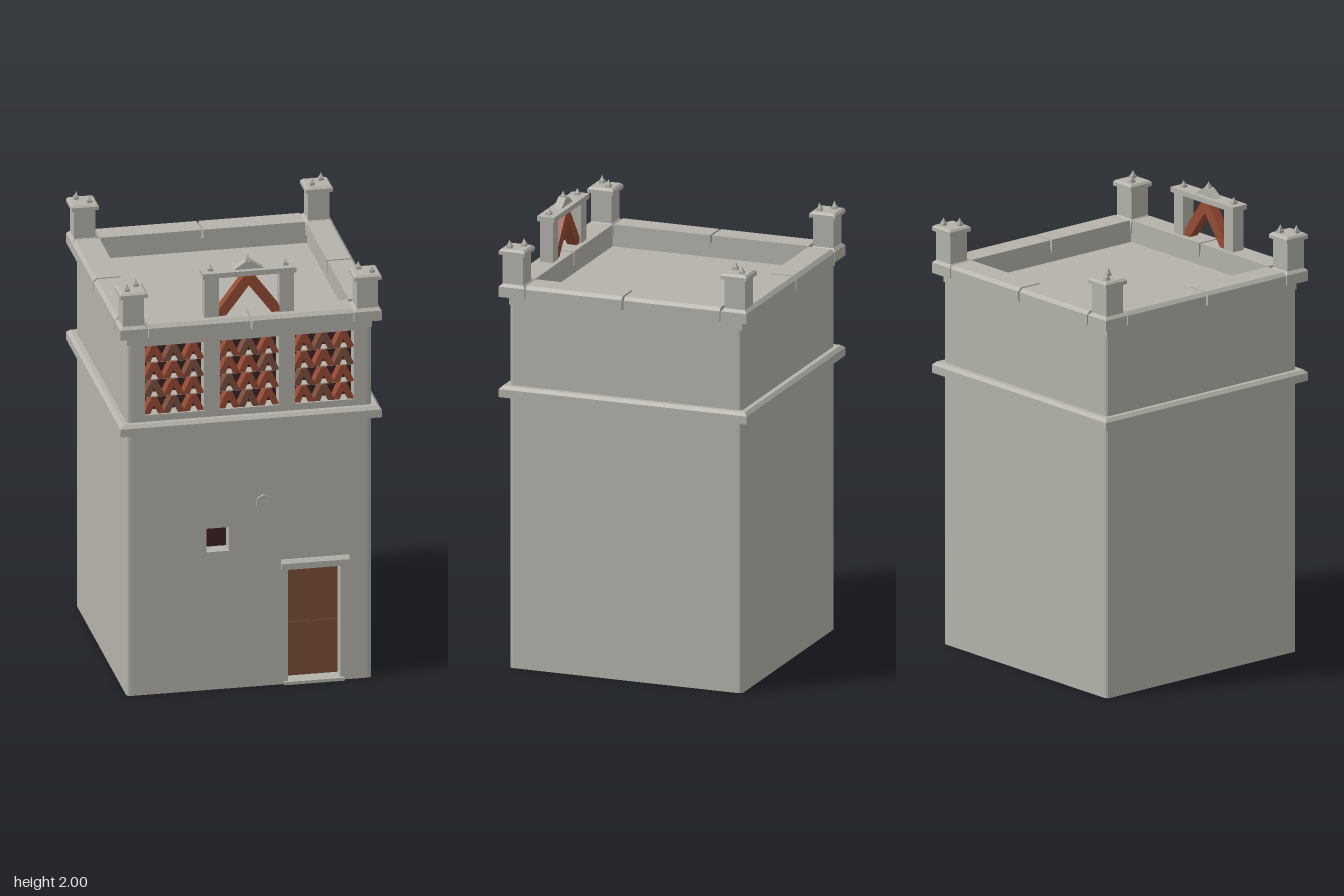
import * as THREE from 'three';

const mat = (name, color) => {
  const m = new THREE.MeshStandardMaterial({ color });
  m.name = name;
  return m;
};

export function createModel() {
  const model = new THREE.Group();
  model.name = 'tower';
  const stone = mat('stone', 0xb4b2aa);
  const terracotta = mat('terracotta', 0x964b34);
  const clay = mat('clay', 0x7d4f3d);
  const doorWood = mat('door wood', 0x7b4e39);
  const dark = mat('dark interior', 0x3c2226);

  const add = (name, geo, material, parent = model) => {
    const mesh = new THREE.Mesh(geo, material);
    mesh.name = name;
    parent.add(mesh);
    return mesh;
  };
  // Box given by its limits
  const box = (name, x0, x1, y0, y1, z0, z1, material, parent) =>
    add(name, new THREE.BoxGeometry(x1 - x0, y1 - y0, z1 - z0)
      .translate((x0 + x1) / 2, (y0 + y1) / 2, (z0 + z1) / 2), material, parent);
  // Block whose upper edges are bevelled inwards
  const bevelBlock = (name, cx, cz, w, d, y0, y1, bevel, parent) => {
    let g = new THREE.BoxGeometry(w, y1 - y0, d, 1, 2, 1);
    const p = g.attributes.position, h = (y1 - y0) / 2;
    for (let i = 0; i < p.count; i++) {
      const y = p.getY(i);
      if (Math.abs(y) < 1e-6) p.setY(i, h - bevel);
      else if (y > 0) {
        p.setX(i, p.getX(i) * (1 - 2 * bevel / w));
        p.setZ(i, p.getZ(i) * (1 - 2 * bevel / d));
      }
    }
    g = g.toNonIndexed();
    g.computeVertexNormals();
    return add(name, g.translate(cx, (y0 + y1) / 2, cz), stone, parent);
  };
  const polygon = (pts) => new THREE.Shape(pts.map(([x, y]) => new THREE.Vector2(x, y)));
  const rectHole = (x0, x1, y0, y1) =>
    new THREE.Path([[x0, y0], [x0, y1], [x1, y1], [x1, y0]].map(([x, y]) => new THREE.Vector2(x, y)));
  const extrude = (shape, depth) =>
    new THREE.ExtrudeGeometry(shape, { depth, bevelEnabled: false, curveSegments: 3 });
  // Small pointed finial on a square foot
  const finial = (x, y, z, h, parent) => {
    box('finialFoot', x - 0.011, x + 0.011, y, y + 0.012, z - 0.011, z + 0.011, stone, parent);
    const cone = new THREE.ConeGeometry(0.012, h - 0.012, 4).toNonIndexed();
    cone.computeVertexNormals();
    add('finialPoint', cone.rotateY(Math.PI / 4).translate(x, y + (h + 0.012) / 2, z), stone, parent);
  };

  // Main body: plan with softened corners and a bay for the pierced front wall
  const B = 0.54, R = 0.02, E = B - R, back = 0.47, roofY = 1.63;
  const plan = new THREE.Shape();
  plan.moveTo(E, -back);
  plan.lineTo(E, -B);
  plan.quadraticCurveTo(B, -B, B, -E);
  plan.lineTo(B, E);
  plan.quadraticCurveTo(B, B, E, B);
  plan.lineTo(-E, B);
  plan.quadraticCurveTo(-B, B, -B, E);
  plan.lineTo(-B, -E);
  plan.quadraticCurveTo(-B, -B, -E, -B);
  plan.lineTo(-E, -back);
  add('body', extrude(plan, roofY).rotateX(-Math.PI / 2), stone);

  const panels = [[-0.46, -0.2], [-0.13, 0.13], [0.2, 0.46]];
  const front = polygon([[-E, 0], [E, 0], [E, roofY], [-E, roofY]]);
  panels.forEach(([a, b]) => front.holes.push(rectHole(a, b, 1.3, 1.62)));
  front.holes.push(rectHole(-0.19, -0.09, 0.64, 0.75), rectHole(0.17, 0.4, 0.012, 0.54));
  add('frontWall', extrude(front, B - back).translate(0, 0, back), stone);

  // Parapet ring around the sunken roof
  const ring = polygon([[-B, -B], [B, -B], [B, B], [-B, B]]);
  ring.holes.push(rectHole(-0.46, 0.46, -0.46, 0.46));
  add('parapet', extrude(ring, 0.06).rotateX(-Math.PI / 2).translate(0, roofY, 0), stone);
  bevelBlock('cornice', 0, 0, 1.15, 1.15, 1.22, 1.27, 0.014);

  // Coping stones, two per side with narrow joints
  const profile = polygon([[-0.575, 1.67], [-0.455, 1.67], [-0.455, 1.73], [-0.56, 1.73], [-0.575, 1.715]]);
  for (let side = 0; side < 4; side++) {
    for (const start of [-0.45, 0.005]) {
      const g = extrude(profile, 0.445).translate(0, 0, start).rotateY(Math.PI / 2);
      add('coping', g.rotateY(side * Math.PI / 2), stone);
    }
  }

  // Corner piers with caps and finials
  for (const sx of [-1, 1]) for (const sz of [-1, 1]) {
    const pier = new THREE.Group();
    pier.name = 'cornerPier';
    model.add(pier);
    const x = sx * 0.515, z = sz * 0.515;
    bevelBlock('pierBase', x, z, 0.12, 0.12, 1.67, 1.73, 0.014, pier);
    box('pierShaft', x - 0.047, x + 0.047, 1.72, 1.865, z - 0.047, z + 0.047, stone, pier);
    bevelBlock('pierCap', x, z, 0.12, 0.12, 1.86, 1.885, 0.009, pier);
    for (const k of [0.49, 0.539]) finial(sx * k, 1.885, sz * k, 0.036, pier);
  }

  // Crest above the front: posts, lintel, chevron and peak
  const crest = new THREE.Group();
  crest.name = 'crest';
  model.add(crest);
  const cz = 0.505;
  for (const s of [-1, 1]) {
    box('crestPost', s * 0.165 - 0.031, s * 0.165 + 0.031, 1.72, 1.915, cz - 0.03, cz + 0.03, stone, crest);
    finial(s * 0.165, 1.935, cz, 0.032, crest);
  }
  box('crestLintel', -0.205, 0.205, 1.913, 1.936, cz - 0.04, cz + 0.04, stone, crest);
  add('crestChevron', extrude(polygon([[-0.134, 1.73], [-0.1, 1.73], [0, 1.862], [0.1, 1.73],
    [0.134, 1.73], [0.134, 1.757], [0.018, 1.914], [-0.018, 1.914], [-0.134, 1.757]]), 0.045)
    .translate(0, 0, cz - 0.0225), terracotta, crest);
  add('crestPeak', extrude(polygon([[-0.067, 1.935], [0.067, 1.935], [0.012, 1.972], [-0.012, 1.972]]), 0.036)
    .translate(0, 0, cz - 0.018), stone, crest);
  finial(0, 1.966, cz, 0.034, crest);

  // Pierced tile panels: rows of chevrons on thin shelves
  const w = 0.26 / 3, h = 0.08, t = 0.026;
  const chevron = extrude(polygon([[-w / 2, 0], [-w / 2 + t, 0], [0, h - 0.036], [w / 2 - t, 0], [w / 2, 0],
    [w / 2, 0.01], [0.012, h - 0.004], [-0.012, h - 0.004], [-w / 2, 0.01]]), 0.055);
  panels.forEach(([a, b]) => {
    const panel = new THREE.Group();
    panel.name = 'tilePanel';
    model.add(panel);
    box('panelBack', a, b, 1.3, 1.62, back, back + 0.004, dark, panel);
    for (let row = 0; row < 4; row++) {
      const y = 1.3 + row * h;
      if (row) box('tileShelf', a, b, y - 0.004, y, back, 0.524, stone, panel);
      for (let k = 0; k < 3; k++) {
        add('tile', chevron, (row + k) % 3 === 1 ? clay : terracotta, panel)
          .position.set(a + w * (k + 0.5), y, back + 0.005);
      }
    }
  });

  // Small window and round boss
  box('windowBack', -0.19, -0.09, 0.64, 0.75, back, back + 0.004, dark);
  add('boss', new THREE.CylinderGeometry(0.036, 0.036, 0.02, 6).toNonIndexed()
    .rotateX(Math.PI / 2).translate(0.062, 0.857, 0.54), stone).geometry.computeVertexNormals();

  // Door with four raised panels, lintel and sill
  box('door', 0.17, 0.4, 0.012, 0.54, back, 0.476, doorWood);
  for (const [x0, x1] of [[0.172, 0.282], [0.288, 0.398]])
    for (const [y0, y1] of [[0.014, 0.262], [0.27, 0.538]])
      box('doorPanel', x0, x1, y0, y1, 0.474, 0.482, doorWood);
  add('doorLintel', extrude(polygon([[-0.566, 0.54], [-0.53, 0.54], [-0.53, 0.58], [-0.552, 0.58], [-0.566, 0.568]]), 0.3)
    .rotateY(Math.PI / 2).translate(0.138, 0, 0), stone);
  box('doorSill', 0.152, 0.418, 0, 0.014, 0.48, 0.555, stone);

  return model;
}
